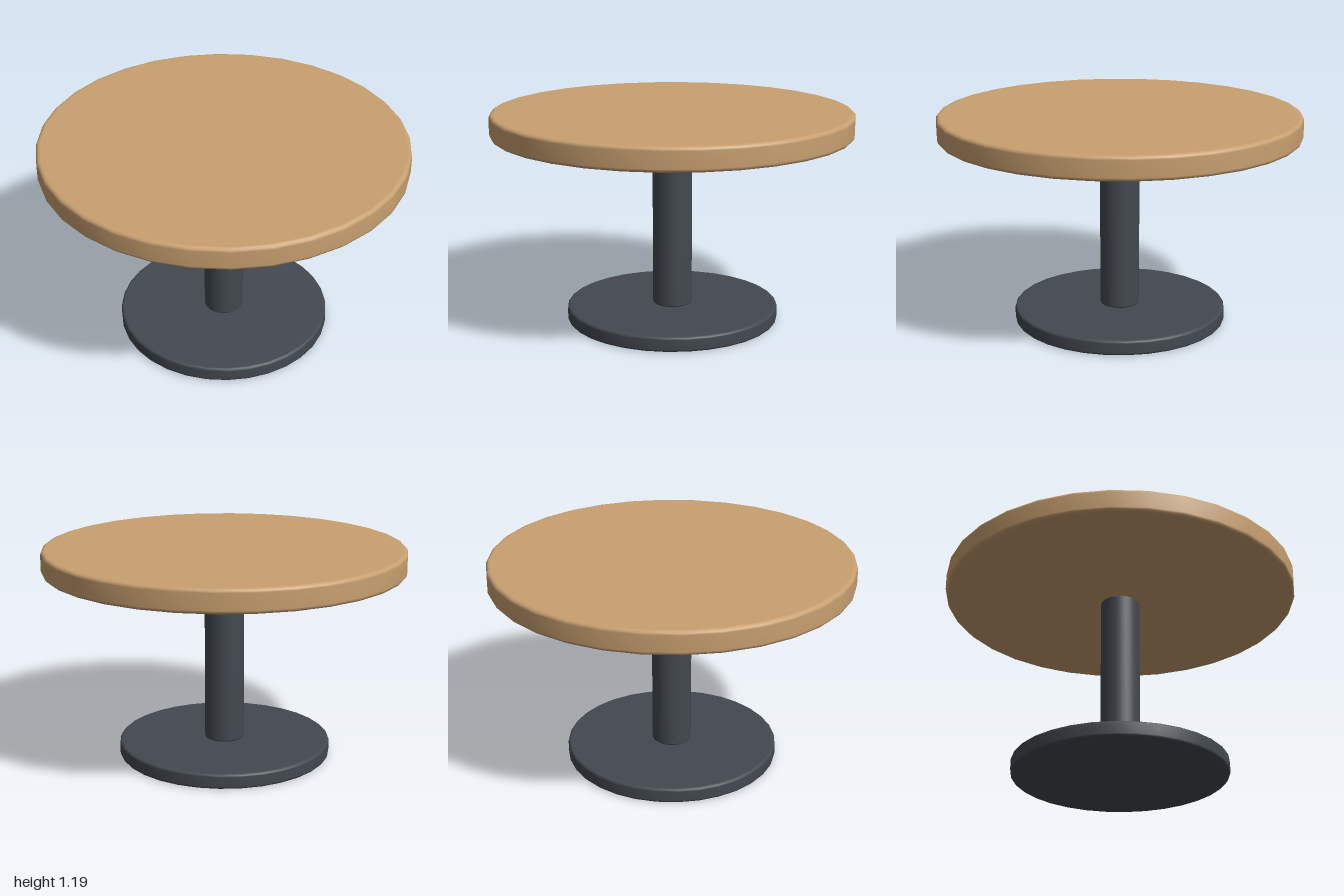
import * as THREE from 'three';

// Round slab or post with softly rounded rims, turned about the y axis
function roundedDisc(name, radius, bottom, top, bevel, color) {
  const points = [new THREE.Vector2(0, bottom), new THREE.Vector2(radius - bevel * 1.3, bottom)];
  const steps = 3;
  for (const [centreY, start] of [[bottom + bevel, -Math.PI / 2], [top - bevel, 0]]) {
    for (let i = 0; i <= steps; i++) {
      const a = start + (i / steps) * Math.PI / 2;
      points.push(new THREE.Vector2(radius - bevel + Math.cos(a) * bevel, centreY + Math.sin(a) * bevel));
    }
  }
  points.push(new THREE.Vector2(radius - bevel * 1.3, top), new THREE.Vector2(0, top));
  const mesh = new THREE.Mesh(
    new THREE.LatheGeometry(points, 32),
    new THREE.MeshStandardMaterial({ color })
  );
  mesh.name = name;
  return mesh;
}

export function createModel() {
  const group = new THREE.Group();
  group.name = 'pedestalTable';
  const wood = 0xc8a070;
  const metal = 0x434950;

  // Floor plate, column and wooden top
  group.add(
    roundedDisc('base', 0.595, 0, 0.083, 0.014, metal),
    roundedDisc('column', 0.11, 0.083, 1.062, 0.01, metal),
    roundedDisc('tabletop', 1, 1.062, 1.19, 0.02, wood)
  );
  return group;
}
